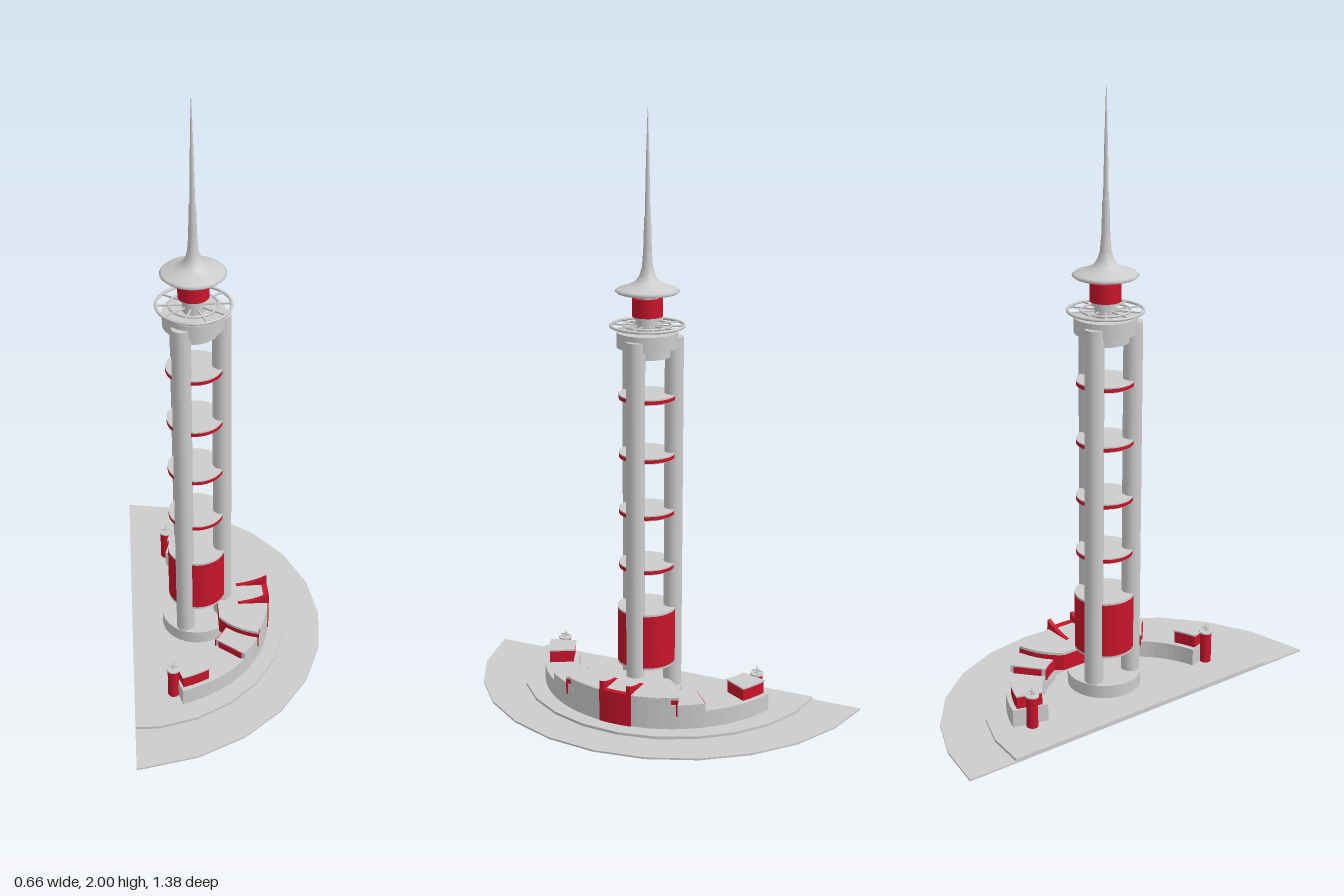
import * as THREE from 'three';

const grey = new THREE.MeshStandardMaterial({ color: 0xcccccc, side: THREE.DoubleSide });
const red = new THREE.MeshStandardMaterial({ color: 0xc8142a, side: THREE.DoubleSide });
const TX = -0.1;   // tower axis
const WX = -0.289; // centre of the curved building

const rad = (d) => d * Math.PI / 180;

function add(parent, name, geo, mat, x = 0, y = 0, z = 0) {
  const m = new THREE.Mesh(geo, mat);
  m.name = name;
  m.position.set(x, y, z);
  parent.add(m);
  return m;
}

// Upright cylinder between two heights
function drum(parent, name, r, y0, y1, mat, x = TX, z = 0, sides = 32, rTop = r) {
  return add(parent, name, new THREE.CylinderGeometry(rTop, r, y1 - y0, sides), mat, x, (y0 + y1) / 2, z);
}

// Flat plan outline of [x, z] points raised from y0 to y1
function slab(parent, name, pts, y0, y1, mat) {
  const shape = new THREE.Shape(pts.map(([x, z]) => new THREE.Vector2(x, -z)));
  const geo = new THREE.ExtrudeGeometry(shape, { depth: y1 - y0, bevelEnabled: false });
  geo.rotateX(-Math.PI / 2);
  return add(parent, name, geo, mat, 0, y0, 0);
}

// Points along an arc in plan, angles in degrees from +x toward +z
function arc(cx, r, a0, a1, n) {
  const pts = [];
  for (let i = 0; i <= n; i++) {
    const a = rad(a0 + (a1 - a0) * i / n);
    pts.push([cx + r * Math.cos(a), r * Math.sin(a)]);
  }
  return pts;
}

const sector = (r0, r1, a0, a1, n = 6) => [...arc(WX, r1, a0, a1, n), ...arc(WX, r0, a1, a0, n)];

function buildGround(g) {
  // Faceted half-round ground and raised plaza
  slab(g, 'ground', [[-0.33, -0.69], ...arc(-0.355, 0.687, -73.3, 85.1, 11), [-0.33, 0.69]], 0, 0.006, grey);
  slab(g, 'plaza', [[-0.33, -0.52], ...arc(-0.32, 0.522, -76, 82.4, 11), [-0.33, 0.515]], 0.006, 0.015, grey);
}

function buildHall(g) {
  // Central fan with concave red sides and a grey roof
  const curve = new THREE.QuadraticBezierCurve(
    new THREE.Vector2(0.1, 0.205), new THREE.Vector2(0.01, 0.18), new THREE.Vector2(-0.03, 0.115)).getPoints(8);
  const fan = [...arc(WX, 0.434, -27, 27, 8), ...curve.map((p) => [p.x, p.y]),
    ...curve.reverse().map((p) => [p.x, -p.y])];
  slab(g, 'fanWalls', fan, 0.06, 0.116, red);
  slab(g, 'fanRoof', fan, 0.116, 0.125, grey);
  slab(g, 'hallFront', sector(0.33, 0.436, -25, 25, 10), 0.015, 0.124, grey);

  // Red entrance panel and two upswept fins behind it
  slab(g, 'entrance', sector(0.42, 0.439, -7.5, 7.5, 4), 0.015, 0.128, red);
  const fin = new THREE.Shape();
  fin.moveTo(0.0, 0.1);
  fin.lineTo(0.147, 0.1);
  fin.lineTo(0.147, 0.158);
  fin.quadraticCurveTo(0.09, 0.125, 0.0, 0.122);
  const finGeo = new THREE.ExtrudeGeometry(fin, { depth: 0.014, bevelEnabled: false, curveSegments: 10 });
  for (const z of [-0.055, 0.041]) add(g, 'fin', finGeo, red, 0, 0, z);

  for (const s of [1, -1]) {
    // Stepped wing with red inner faces
    slab(g, 'innerWing', sector(0.317, 0.436, s * 24, s * 40), 0.015, 0.1, grey);
    slab(g, 'innerWingFace', sector(0.312, 0.318, s * 24, s * 40), 0.06, 0.095, red);
    slab(g, 'outerWing', sector(0.317, 0.436, s * 40, s * 74, 8), 0.015, 0.074, grey);
    slab(g, 'stepFace', sector(0.33, 0.425, s * 40, s * 40.6, 1), 0.074, 0.096, red);

    // Pavilion at the wing end
    slab(g, 'pavilion', sector(0.335, 0.42, s * 60, s * 73, 3), 0.074, 0.116, red);
    slab(g, 'pavilionRoof', sector(0.332, 0.423, s * 59.5, s * 73.5, 3), 0.116, 0.121, grey);

    // Red corner post with a small mast
    const x = WX + 0.376 * Math.cos(rad(76));
    const z = s * 0.376 * Math.sin(rad(76));
    drum(g, 'post', 0.019, 0.015, 0.122, red, x, z, 16);
    drum(g, 'postCap', 0.023, 0.122, 0.127, grey, x, z, 16);
    drum(g, 'postMast', 0.004, 0.127, 0.152, grey, x, z, 8, 0.001);
    add(g, 'postCrossbar', new THREE.BoxGeometry(0.034, 0.003, 0.003), grey, x, 0.136, z);
    add(g, 'postCrossbar', new THREE.BoxGeometry(0.003, 0.003, 0.034), grey, x, 0.136, z);
  }
}

function buildTower(g) {
  drum(g, 'towerBase', 0.122, 0.006, 0.06, grey);
  drum(g, 'redDrum', 0.098, 0.155, 0.34, red);
  drum(g, 'redDrumLid', 0.098, 0.34, 0.347, grey);
  drum(g, 'redDrumFloor', 0.098, 0.148, 0.155, grey);

  // Three columns
  for (const a of [0, 120, 240]) {
    drum(g, 'column', 0.031, 0.05, 1.272, grey, TX + 0.088 * Math.cos(rad(a)), 0.088 * Math.sin(rad(a)), 24);
  }

  // Thin floors with red rims
  for (const y of [0.495, 0.684, 0.878, 1.075]) {
    drum(g, 'floorRim', 0.093, y - 0.007, y + 0.005, red);
    drum(g, 'floorTop', 0.093, y + 0.005, y + 0.009, grey);
    drum(g, 'floorUnderside', 0.09, y - 0.01, y - 0.007, grey);
  }

  // Cap and neck
  drum(g, 'capUnderside', 0.078, 1.21, 1.24, grey);
  drum(g, 'cap', 0.1, 1.24, 1.29, grey);
  drum(g, 'neck', 0.036, 1.29, 1.42, grey);

  // Spoked ring
  const hoops = [[0.119, 0.005], [0.078, 0.004]];
  for (const [r, t] of hoops) {
    const geo = new THREE.TorusGeometry(r, t, 8, 40).rotateX(Math.PI / 2);
    add(g, 'hoop', geo, grey, TX, 1.31, 0);
  }
  for (let i = 0; i < 10; i++) {
    const a = i * Math.PI / 5;
    const spoke = add(g, 'spoke', new THREE.BoxGeometry(0.09, 0.005, 0.005), grey,
      TX + 0.075 * Math.cos(a), 1.31, 0.075 * Math.sin(a));
    spoke.rotation.y = -a;
  }

  // Red cabin, saucer and spire
  drum(g, 'cabin', 0.05, 1.34, 1.4, red);
  drum(g, 'cabinFloor', 0.045, 1.332, 1.34, grey);
  const saucer = [[0, 1.412], [0.06, 1.413], [0.098, 1.417], [0.105, 1.423], [0.098, 1.43], [0.065, 1.44],
    [0.04, 1.453], [0.026, 1.472], [0.018, 1.5], [0.014, 1.55]];
  add(g, 'saucer', new THREE.LatheGeometry(saucer.map(([x, y]) => new THREE.Vector2(x, y)), 40), grey, TX);
  drum(g, 'lowerMast', 0.014, 1.55, 1.66, grey, TX, 0, 12, 0.011);
  drum(g, 'upperMast', 0.009, 1.66, 1.82, grey, TX, 0, 12, 0.006);
  drum(g, 'spireTip', 0.006, 1.82, 2.0, grey, TX, 0, 12, 0.001);
}

export function createModel() {
  const model = new THREE.Group();
  model.name = 'tower';
  for (const [name, build] of [['site', buildGround], ['hall', buildHall], ['towerShaft', buildTower]]) {
    const g = new THREE.Group();
    g.name = name;
    build(g);
    model.add(g);
  }
  return model;
}
